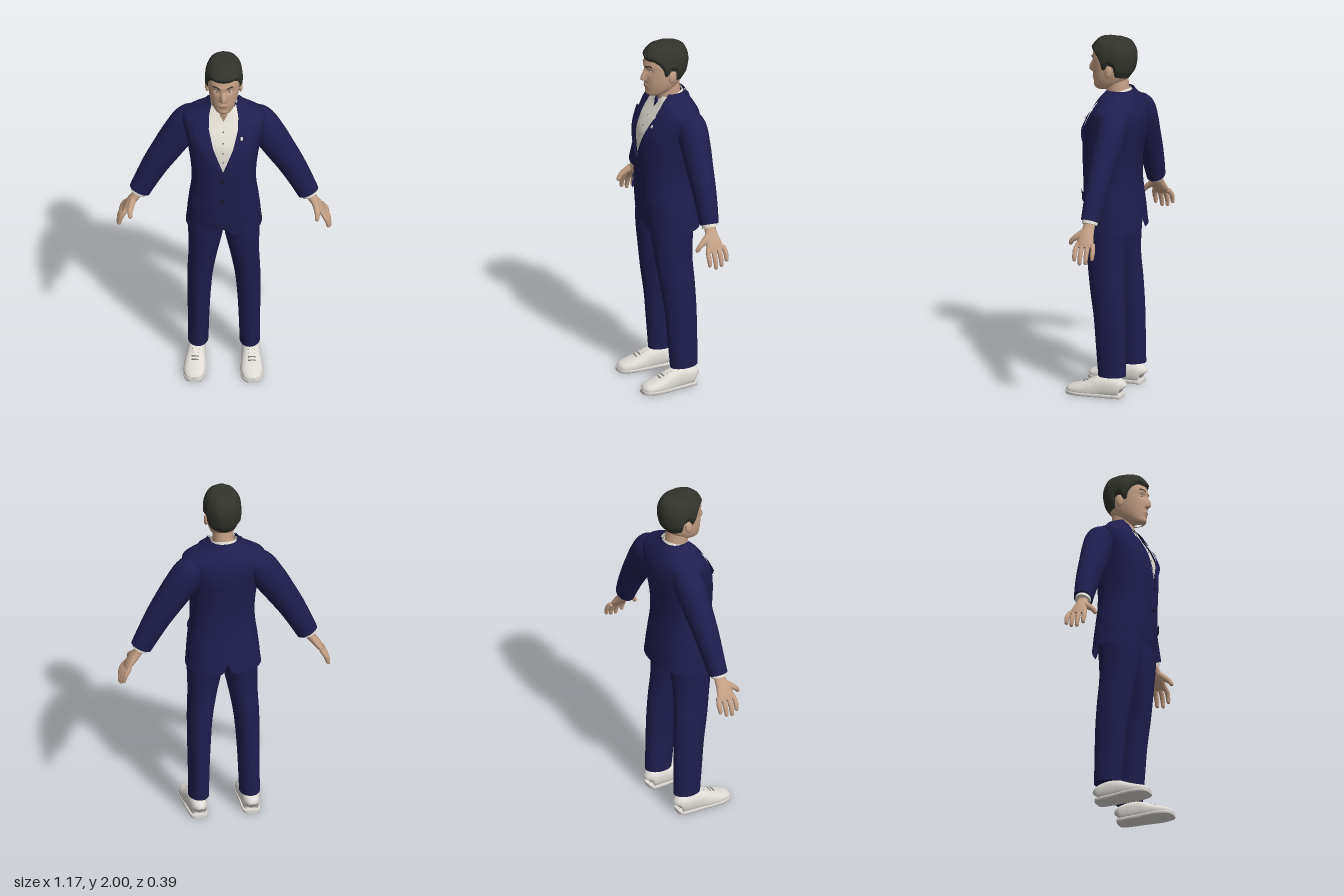
import * as THREE from 'three';

const mat = (name, color, side = THREE.FrontSide) => {
  const m = new THREE.MeshStandardMaterial({ color, side });
  m.name = name;
  return m;
};
const { smoothstep, lerp } = THREE.MathUtils;
const gauss = (...d) => Math.exp(-d.reduce((s, v) => s + v * v, 0));
const spow = (v, p) => Math.sign(v) * Math.abs(v) ** p;

// Smooth interpolation through rows of numbers
function sample(rows, t) {
  const n = rows.length - 1, i = Math.max(0, Math.min(n - 1, Math.floor(t))), f = t - i;
  const r = k => rows[Math.max(0, Math.min(n, k))];
  return rows[i].map((b, k) => {
    const a = r(i - 1)[k], c = r(i + 1)[k], d = r(i + 2)[k];
    return b + 0.5 * f * (c - a + f * (2 * a - 5 * b + 4 * c - d + f * (3 * (b - c) + d - a)));
  });
}
// Linear lookup in [key, value] pairs
function lookup(table, x) {
  if (x <= table[0][0]) return table[0][1];
  for (let i = 1; i < table.length; i++) {
    const [x0, y0] = table[i - 1], [x1, y1] = table[i];
    if (x <= x1) return lerp(y0, y1, (x - x0) / (x1 - x0));
  }
  return table[table.length - 1][1];
}
// Surface from f(u, v); the outside is du x dv
function grid(f, nu, nv, closed = false) {
  const pos = [], idx = [], w = closed ? nu : nu + 1;
  for (let j = 0; j <= nv; j++) for (let i = 0; i < w; i++) pos.push(...f(i / nu, j / nv, j));
  for (let j = 0; j < nv; j++) for (let i = 0; i < nu; i++) {
    const a = j * w + i, b = j * w + (i + 1) % w;
    idx.push(a, b, a + w, b, b + w, a + w);
  }
  const g = new THREE.BufferGeometry();
  g.setAttribute('position', new THREE.Float32BufferAttribute(pos, 3));
  g.setIndex(idx);
  g.computeVertexNormals();
  return g;
}
// Capped tube through rows [x, y, z, radius across, radius in z]
function tube(rows, seg = 28, steps = 5, p = 1) {
  const n = (rows.length - 1) * steps;
  return grid((u, v, j) => {
    const t = Math.max(0, Math.min(n, j - 2)) / steps;
    const [x, y, z, ra, rb] = sample(rows, t);
    const A = sample(rows, Math.max(0, t - 0.1)), B = sample(rows, Math.min(rows.length - 1, t + 0.1));
    const D = new THREE.Vector3(B[0] - A[0], B[1] - A[1], B[2] - A[2]).normalize();
    const U = new THREE.Vector3(-D.y, D.x, 0).normalize(), V = D.clone().cross(U);
    const k = j === 0 || j === n + 4 ? 0 : 1, a = u * Math.PI * 2;
    return new THREE.Vector3(x, y, z).addScaledVector(U, k * ra * spow(Math.cos(a), p))
      .addScaledVector(V, k * rb * spow(Math.sin(a), p)).toArray();
  }, seg, n + 4, true);
}
function mirrored(geo) {
  const g = geo.clone().scale(-1, 1, 1), ix = g.index.array;
  for (let i = 0; i < ix.length; i += 3) [ix[i], ix[i + 1]] = [ix[i + 1], ix[i]];
  g.computeVertexNormals();
  return g;
}

// Head rows: y, front z, back z, half width
const HEAD = [[1.7, .07, .03, .012], [1.712, .086, -.01, .042], [1.74, .094, -.065, .063], [1.78, .098, -.102, .077],
  [1.82, .1, -.12, .084], [1.86, .1, -.13, .088], [1.9, .1, -.135, .089], [1.94, .087, -.13, .083],
  [1.97, .058, -.11, .064], [1.983, .02, -.07, .035], [1.986, -.025, -.025, 0]];
function headPt(t, a, off = 0) {
  const [y, zf, zb, rx] = sample(HEAD, t);
  const x = (Math.max(rx, 0) + off * Math.min(1, rx * 30)) * spow(Math.sin(a), .92);
  let z = (zf + zb) / 2 + ((zf - zb) / 2 + off * Math.min(1, rx * 30)) * spow(Math.cos(a), .92);
  if (Math.cos(a) > 0) {
    z += .028 * smoothstep(1.885 - y, 0, .072) * smoothstep(y, 1.79, 1.804) * gauss(x / .014)
      - .009 * gauss((Math.abs(x) - .034) / .017, (y - 1.858) / .014)
      + .004 * gauss(x / .06, (y - 1.885) / .012)
      + .006 * gauss(x / .025, (y - 1.766) / .014) + .006 * gauss(x / .03, (y - 1.722) / .014);
  }
  return [x, y + off * smoothstep(t, 6.5, 9), z];
}
const HAIRLINE = [[0, 6.45], [40, 6.5], [58, 6.1], [70, 5.4], [76, 4.3], [84, 4.3], [90, 5.1], [104, 4.9], [114, 3.4], [180, 3]];

// Jacket rows: y, front z, back z, half width
const BODY = [[.93, .115, -.187, .203], [1, .126, -.185, .2], [1.1, .135, -.175, .19], [1.2, .139, -.166, .177],
  [1.3, .143, -.165, .177], [1.4, .143, -.175, .188], [1.5, .13, -.19, .205], [1.57, .098, -.19, .222],
  [1.62, .066, -.178, .225], [1.645, .05, -.166, .19], [1.67, .04, -.152, .14], [1.69, .032, -.138, .1], [1.715, .025, -.122, .074]];
const bodyRow = y => {
  let i = 0;
  while (i < BODY.length - 2 && y > BODY[i + 1][0]) i++;
  return sample(BODY, i + (y - BODY[i][0]) / (BODY[i + 1][0] - BODY[i][0]));
};
function bodyPt(y, a, off = 0) {
  const [, zf, zb, rx] = bodyRow(y);
  return [(rx + off) * spow(Math.sin(a), .85), y, (zf + zb) / 2 + ((zf - zb) / 2 + off) * spow(Math.cos(a), .85)];
}
const angleAt = (x, y) => Math.sign(x) * Math.asin(Math.min(.97, Math.abs(x) / bodyRow(y)[3]) ** (1 / .85));
const NECKLINE = [[1.36, 0], [1.5, .054], [1.6, .08], [1.66, .08], [1.715, .066]];
const opening = y => lookup(NECKLINE, y);

export function createModel() {
  const root = new THREE.Group();
  root.name = 'manInSuit';
  const navy = mat('navyCloth', 0x1f1e4e, THREE.DoubleSide), white = mat('shirtWhite', 0xe2ded4, THREE.DoubleSide);
  const skin = mat('skin', 0xc4a188), hair = mat('darkHair', 0x32342c, THREE.DoubleSide), shoe = mat('shoeWhite', 0xdedbd5);
  const lip = mat('lips', 0xab8070, THREE.DoubleSide), grey = mat('laceGrey', 0x77746c), dark = mat('darkButton', 0x17161f);
  const eye = mat('eyeWhite', 0xd8cfc4), iris = mat('iris', 0x3a2c22);
  const add = (name, geo, m) => {
    const o = new THREE.Mesh(geo, m);
    o.name = name;
    root.add(o);
    return o;
  };
  const pair = (name, geo, m) => {
    add('left' + name, geo, m);
    add('right' + name, mirrored(geo), m);
  };
  // Cloth patch on the jacket, between x limits and y limits
  const patch = (x0, x1, y0, y1, off, nu = 10, nv = 10) => grid((u, v) => {
    const y = lerp(y0, y1, v);
    return bodyPt(y, angleAt(lerp(x0, x1, u), y), off);
  }, nu, nv);

  // Head, hair and face
  add('head', grid((u, v) => headPt(v * 10, u * Math.PI * 2), 96, 90, true), skin);
  add('hair', grid((u, v) => {
    const a = u * Math.PI * 2, deg = 180 - Math.abs(180 - u * 360), t = lerp(lookup(HAIRLINE, deg), 10, v);
    const wave = .0015 * Math.sin(a * 9 + v * 5) * (1 - v);
    return headPt(t, a, .002 + (.0115 + .005 * gauss(deg / 50) + wave) * smoothstep(v, 0, .16));
  }, 96, 36, true), hair);
  add('neck', tube([[0, 1.79, -.035, .058, .062], [0, 1.7, -.042, .058, .065], [0, 1.58, -.06, .06, .066]]), skin);
  pair('Ear', new THREE.SphereGeometry(1, 16, 12).scale(.012, .036, .021).rotateX(-.15).translate(.091, 1.826, -.022), skin);
  pair('Brow', grid((u, v) => headPt(lerp(5.55, 5.75, v) + .16 * Math.sin(u * 2.6), lerp(.18, .62, u), .003), 10, 2), hair);
  const [ex, ey, ez] = headPt(4.95, .38);
  pair('Eye', new THREE.SphereGeometry(1, 16, 10).scale(.014, .0055, .005).rotateY(.25).translate(ex, ey, ez), eye);
  pair('Iris', new THREE.SphereGeometry(1, 10, 8).scale(.0045, .0045, .002).translate(ex, ey, ez + .0045), iris);
  add('mouth', grid((u, v) => headPt(2.65 + (v - .5) * .28 * Math.sin(u * Math.PI), lerp(-.3, .3, u), .0015), 14, 3), lip);

  // Shirt front, collar and buttons
  pair('ShirtFront', grid((u, v) => {
    const y = lerp(1.28, 1.7, v), a0 = angleAt(lookup([[1.63, 0], [1.7, .045]], y), y);
    return bodyPt(y, lerp(a0, 1.35, u), -.009);
  }, 16, 30), white);
  add('shirtCollar', grid((u, v) => {
    const a = lerp(.3, Math.PI * 2 - .3, u), d = Math.min(u, 1 - u);
    const top = 1.703 - .024 * Math.cos(a), low = 1.685 - .012 * Math.cos(a) - .05 * gauss(d / .08);
    const flare = .012 * (1 - v) + .012 * (1 - v) * gauss(d / .08);
    return [(.066 + flare) * Math.sin(a), lerp(low, top, v), -.042 + (.072 + flare) * Math.cos(a)];
  }, 60, 4), white);
  add('shirtPlacket', patch(-.013, .013, 1.34, 1.62, -.006, 4, 16), white);
  for (let i = 0; i < 4; i++) {
    const y = 1.42 + i * .055, [x, , z] = bodyPt(y, 0, -.005);
    add('shirtButton', new THREE.CylinderGeometry(.004, .004, .004, 10).rotateX(Math.PI / 2).translate(x, y, z), grey);
  }

  // Jacket body with open neck, rounded front hem and back vent
  add('jacketBody', grid((u, v) => {
    const b = u * Math.PI * 2, d = Math.min(b, Math.PI * 2 - b);
    const hem = .932 + .03 * gauss(d / .13) + .055 * gauss((b - Math.PI) / .05);
    const y = lerp(hem, 1.715, v), a0 = angleAt(opening(y), y);
    return bodyPt(y, lerp(a0, Math.PI * 2 - a0, u), .004 * gauss((y - .93) / .03));
  }, 128, 72), navy);
  add('jacketCollar', grid((u, v) => {
    const low = 1.688 - .08 * gauss(Math.min(u, 1 - u) / .05), y = lerp(low, 1.718, v), a0 = angleAt(opening(y), y);
    return bodyPt(y, lerp(a0, Math.PI * 2 - a0, u), .009);
  }, 90, 6), navy);
  pair('Lapel', grid((u, v) => {
    const y = lerp(1.34, 1.595 - .012 * u, v), x = opening(y) + u * .078 * Math.min(1, v * 1.15);
    return bodyPt(y, angleAt(x, y), .005 + .008 * u);
  }, 8, 24), navy);
  add('frontOverlap', patch(-.012, .045, .985, 1.36, .005, 6, 20), navy);
  pair('PocketFlap', patch(.085, .172, 1.095, 1.145, .009), navy);
  add('ticketPocketFlap', patch(-.165, -.09, 1.155, 1.18, .008), navy);
  add('breastPocket', patch(.105, .168, 1.475, 1.497, .006), navy);
  for (const y of [1.17, 1.3]) {
    const [x, , z] = bodyPt(y, angleAt(-.005, y), .008);
    add('jacketButton', new THREE.CylinderGeometry(.009, .009, .006, 16).rotateX(Math.PI / 2).translate(x, y, z), dark);
  }
  const [px, py, pz] = bodyPt(1.56, angleAt(.095, 1.56), .014);
  add('lapelPin', new THREE.BoxGeometry(.012, .018, .005).rotateX(-.4).translate(px, py, pz), white);

  // Sleeves and cuffs
  pair('Sleeve', tube([[.12, 1.6, -.085, .045, .06], [.185, 1.555, -.09, .086, .083], [.25, 1.46, -.088, .09, .08],
    [.31, 1.365, -.083, .083, .073], [.365, 1.275, -.08, .075, .066], [.415, 1.18, -.077, .067, .058], [.459, 1.09, -.072, .06, .05]], 32), navy);
  pair('ShirtCuff', tube([[.45, 1.11, -.072, .046, .044], [.467, 1.075, -.072, .045, .043]], 24, 2), white);

  // Hands: palm, four curved fingers and a thumb
  pair('Palm', tube([[.452, 1.105, -.073, .026, .032], [.476, 1.06, -.071, .024, .033], [.505, 1.02, -.068, .023, .043],
    [.529, .987, -.071, .018, .048], [.545, .965, -.074, .011, .045]], 24), skin);
  [.92, 1.08, 1.02, .8].forEach((len, k) => {
    const z = -.033 - .028 * k, s = (1.5 - k) * .006;
    const at = (dx, dy, dz, r) => [.53 + dx * len, .985 + dy * len, z + dz, r, r];
    pair('Finger' + (k + 1), tube([at(0, 0, 0, .013), at(.026, -.04, s, .0135), at(.039, -.075, s, .012),
      at(.042, -.098, s, .0095), at(.042, -.104, s, .004)], 12, 4), skin);
  });
  pair('Thumb', tube([[.49, 1.045, -.055, .018, .018], [.505, 1.015, -.02, .018, .018], [.51, .993, .008, .014, .014],
    [.508, .97, .023, .011, .011], [.507, .962, .027, .004, .004]], 14, 4), skin);

  // Trouser legs
  pair('TrouserLeg', tube([[.095, 1.08, -.02, .07, .11], [.095, 1, -.02, .094, .125], [.098, .9, -.015, .097, .12], [.112, .75, -.02, .08, .106],
    [.128, .6, -.035, .07, .099], [.135, .45, -.05, .064, .091], [.138, .3, -.058, .059, .086], [.141, .115, -.067, .056, .079]], 36), navy);

  // Shoes: upper, sole and laces
  const SHOE = [[-.13, .045, 0, .025, .018], [-.117, .052, 0, .05, .042], [-.06, .055, 0, .062, .05], [0, .05, 0, .061, .053],
    [.06, .035, 0, .05, .059], [.12, .025, 0, .037, .06], [.17, .02, 0, .026, .046], [.19, .018, 0, .01, .02]];
  const place = g => g.rotateY(.05).translate(.15, 0, 0);
  const shoePart = (rows, y0, y1) => {
    const g = tube(rows, 32, 5, .85).rotateY(-Math.PI / 2), p = g.attributes.position;
    for (let i = 0; i < p.count; i++) p.setY(i, Math.max(y0, Math.min(y1, p.getY(i))));
    g.computeVertexNormals();
    return place(g);
  };
  pair('ShoeUpper', shoePart(SHOE, .006, 1), shoe);
  pair('ShoeSole', shoePart(SHOE.map(r => [r[0] * 1.02, .012, 0, .03, r[4] + .003]), 0, .018), shoe);
  for (let i = 0; i < 4; i++) {
    const z = .025 + i * .021, y = lookup([[0, .112], [.06, .086], [.12, .063]], z);
    pair('Lace' + (i + 1), place(new THREE.BoxGeometry(.04, .005, .007).rotateX(.4).translate(0, y, z)), grey);
  }
  return root;
}
